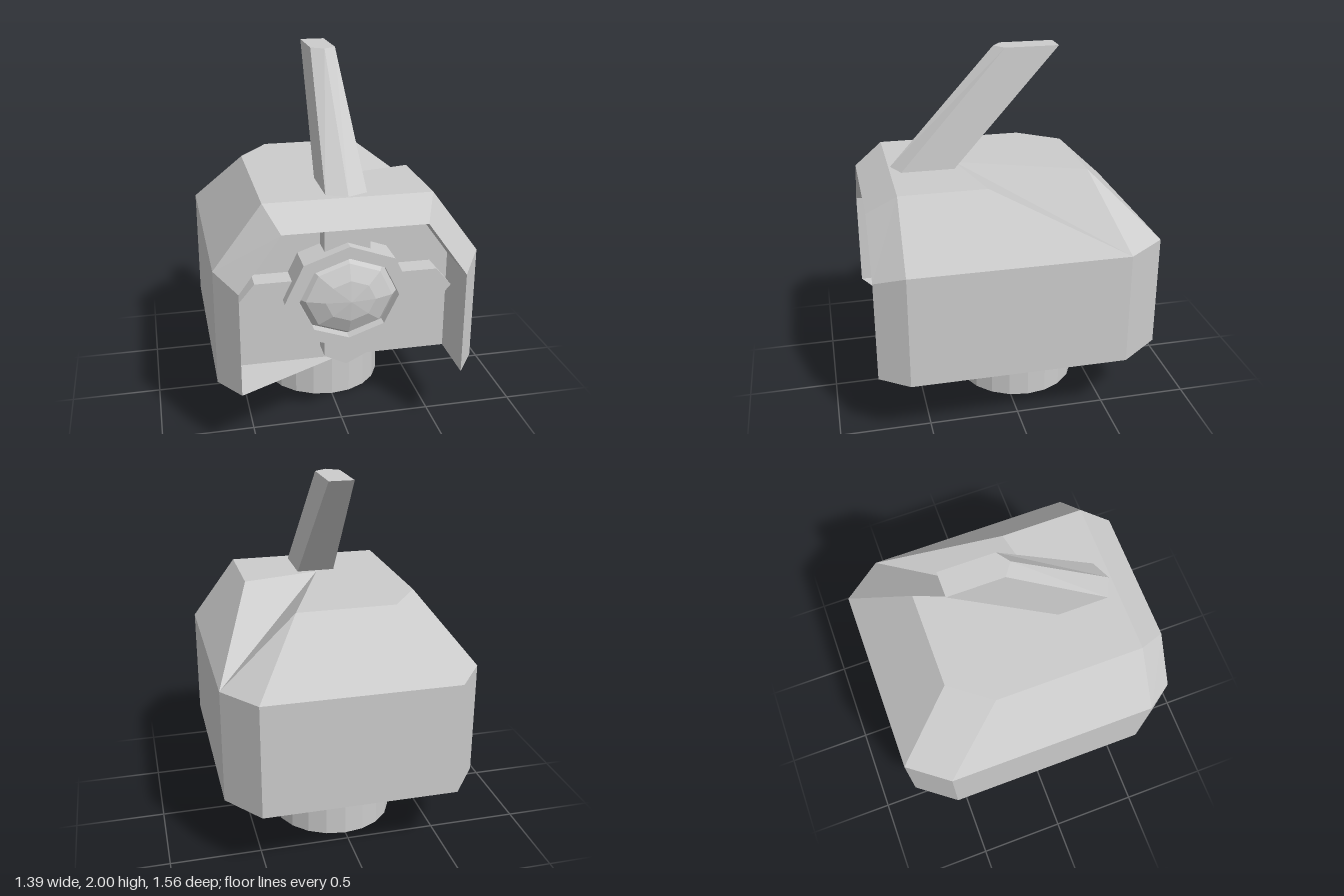
import * as THREE from 'three';

const material = new THREE.MeshStandardMaterial({ color: 0xcccccc, flatShading: true });

function part(name, geometry, parent) {
  const mesh = new THREE.Mesh(geometry, material);
  mesh.name = name;
  parent.add(mesh);
  return mesh;
}

// Flat-faced solid from polygons; each is fanned from its first corner
function solid(polygons) {
  const positions = [];
  for (const p of polygons)
    for (let i = 1; i < p.length - 1; i++) positions.push(...p[0], ...p[i], ...p[i + 1]);
  const geometry = new THREE.BufferGeometry();
  geometry.setAttribute('position', new THREE.Float32BufferAttribute(positions, 3));
  geometry.computeVertexNormals();
  return geometry;
}

const flip = ([x, y, z]) => [-x, y, z];
const mirror = (polygon) => polygon.map(flip).reverse();
// Quad joining edge a-b with its mirror image
const across = (a, b) => [a, flip(a), flip(b), b];

function bodyGeometry() {
  const base = 0.39, shoulder = 1.02, top = 1.36, wall = 0.48;
  // Corners of the left half
  const sideFront = [0.695, shoulder, 0.62], sideBack = [0.695, shoulder, -0.56];
  const back = [0.53, shoulder, -0.78];
  const rimLow = [0.585, 0.955, 0.78], rimHigh = [0.37, 1.25, 0.78];
  const roofFront = [0.44, top, 0.62], roofBack = [0.27, top, -0.435];
  const roofSide = [0.44, top, -0.21];
  const dentSide = [0.44, top, 0.15], dentInner = [0, top, 0.25];
  const down = ([x, , z]) => [x, base, z];
  const inward = ([x, y]) => [x, y, wall];
  const upright = (a, b) => [down(a), down(b), b, a];
  const recess = (a, b) => [inward(a), a, b, inward(b)];

  const half = [
    upright(sideFront, sideBack),
    upright(sideBack, back),
    upright(rimLow, sideFront),
    [rimLow, sideFront, roofFront, rimHigh],
    recess(down(rimLow), rimLow),
    recess(rimLow, rimHigh),
    [inward(down(rimLow)), [0, base, wall], [0, base, -0.78],
      down(back), down(sideBack), down(sideFront), down(rimLow)],
  ];
  return solid([
    ...half, ...half.map(mirror),
    // Back, back slope, hood edge, recess ceiling
    across(down(back), back),
    across(back, roofBack),
    across(rimHigh, roofFront).reverse(),
    across(rimHigh, inward(rimHigh)),
    // Recess back wall
    [flip(inward(down(rimLow))), inward(down(rimLow)), inward(rimLow),
      inward(rimHigh), flip(inward(rimHigh)), flip(inward(rimLow))],
    // Intact right roof slopes
    mirror([sideFront, sideBack, roofSide, roofFront]),
    mirror([sideBack, back, roofBack, roofSide]),
    // Left roof slopes with the dent
    [sideFront, sideBack, dentSide, roofFront],
    [sideBack, back, roofBack],
    [sideBack, dentInner, dentSide],
    [sideBack, roofBack, dentInner],
    // Roof
    [dentInner, roofBack, flip(roofBack), flip(roofSide), flip(roofFront), roofFront, dentSide],
  ]);
}

// Backward-leaning horn lofted between two five-sided sections
function hornGeometry() {
  const section = (y, w, tip, shoulder, back) =>
    [[0, y, tip], [w, y, shoulder], [w, y, back], [-w, y, back], [-w, y, shoulder]];
  const low = section(1.36, 0.108, 0.61, 0.56, 0.27);
  const high = section(2, 0.068, 0.03, -0.02, -0.315);
  const sides = low.map((p, i) => {
    const j = (i + 1) % low.length;
    return [p, low[j], high[j], high[i]];
  });
  return solid([...sides, high, [...low].reverse()]);
}

// Bar with a point at each end
function pointedBar(length, tip, halfWidth, depth) {
  const s = length - tip;
  const shape = new THREE.Shape([
    [length, 0], [s, halfWidth], [-s, halfWidth], [-length, 0], [-s, -halfWidth], [s, -halfWidth],
  ].map(([x, y]) => new THREE.Vector2(x, y)));
  return new THREE.ExtrudeGeometry(shape, { depth, bevelEnabled: false });
}

const octagon = (rx, ry) => Array.from({ length: 8 }, (_, i) =>
  new THREE.Vector2(rx * Math.cos(i * Math.PI / 4), ry * Math.sin(i * Math.PI / 4)));

export function createModel() {
  const model = new THREE.Group();
  model.name = 'hornedHead';

  part('body', bodyGeometry(), model);
  part('horn', hornGeometry(), model);
  part('neck', new THREE.CylinderGeometry(0.345, 0.345, 0.39, 20), model).position.set(0, 0.195, -0.1);

  // Eye assembly inside the front recess
  const eye = new THREE.Group();
  eye.name = 'eye';
  eye.position.set(0, 0.82, 0.48);
  model.add(eye);

  part('horizontalBar', pointedBar(0.57, 0.085, 0.1, 0.12), eye);
  part('verticalBar', pointedBar(0.415, 0.06, 0.12, 0.121), eye).rotation.z = Math.PI / 2;

  const ring = new THREE.Shape(octagon(0.34, 0.29));
  ring.holes.push(new THREE.Path(octagon(0.265, 0.225).reverse()));
  part('eyeRing', new THREE.ExtrudeGeometry(ring, { depth: 0.18, bevelEnabled: false }), eye);

  const dome = new THREE.SphereGeometry(1, 8, 3, 0, Math.PI * 2, 0, Math.PI / 2);
  dome.rotateX(Math.PI / 2).scale(0.265, 0.225, 0.1);
  part('lens', dome, eye).position.z = 0.122;

  return model;
}
